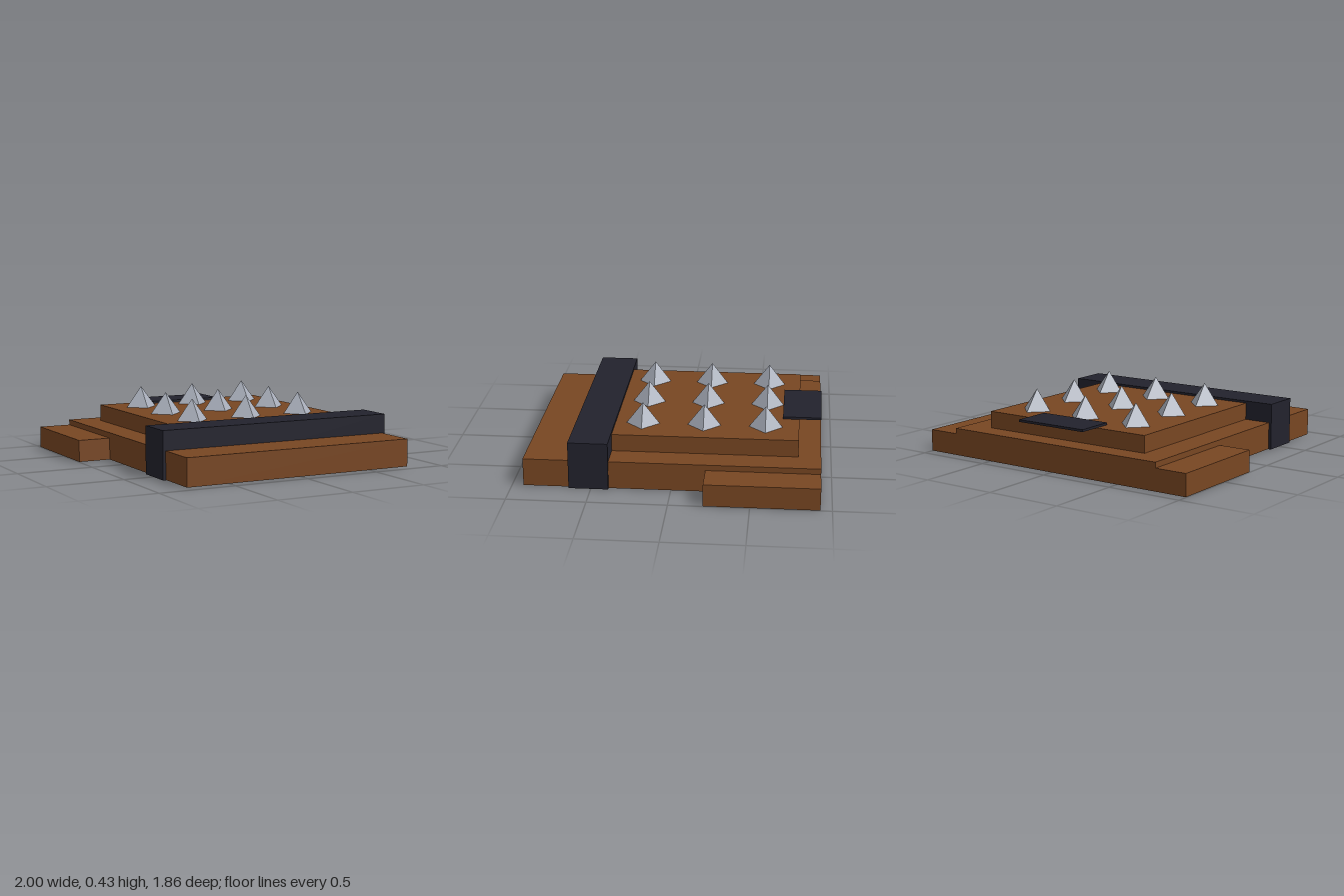
import * as THREE from 'three';

export function createModel() {
  const model = new THREE.Group();
  model.name = 'studdedPad';

  const material = (name, color) => {
    const m = new THREE.MeshStandardMaterial({ color });
    m.name = name;
    return m;
  };
  const leather = material('brown leather', 0x784622);
  const strap = material('dark strap', 0x22222d);
  const metal = material('grey metal', 0xaab0bc);
  metal.flatShading = true;

  // Box given by its extents on each axis
  const box = (name, mat, [x0, x1], [y0, y1], [z0, z1]) => {
    const mesh = new THREE.Mesh(new THREE.BoxGeometry(x1 - x0, y1 - y0, z1 - z0), mat);
    mesh.position.set((x0 + x1) / 2, (y0 + y1) / 2, (z0 + z1) / 2);
    mesh.name = name;
    model.add(mesh);
  };

  // Leather slabs; undersides sit a hair above the belt's underside
  box('basePanel', leather, [-0.785, 0.785], [0.002, 0.18], [-0.928, 0.928]);
  box('rightShoulder', leather, [-1, -0.785], [0.002, 0.144], [-0.928, -0.215]);
  box('leftShoulder', leather, [0.785, 1], [0.002, 0.144], [-0.928, -0.215]);
  box('raisedPanel', leather, [-0.607, 0.607], [0.18, 0.29], [-0.786, 0.40]);

  // Belt across the front and thin collar tab overhanging the back
  box('belt', strap, [-0.803, 0.803], [0, 0.305], [0.39, 0.64]);
  box('collarTab', strap, [-0.25, 0.25], [0.29, 0.305], [-0.928, -0.68]);

  // Three by three grid of pyramid spikes, corners on the axes
  const spikeShape = new THREE.ConeGeometry(0.107, 0.14, 4);
  for (const z of [-0.573, -0.18, 0.213]) {
    for (const x of [-0.393, 0, 0.393]) {
      const spike = new THREE.Mesh(spikeShape, metal);
      spike.position.set(x, 0.36, z);
      spike.name = 'spike';
      model.add(spike);
    }
  }
  return model;
}
